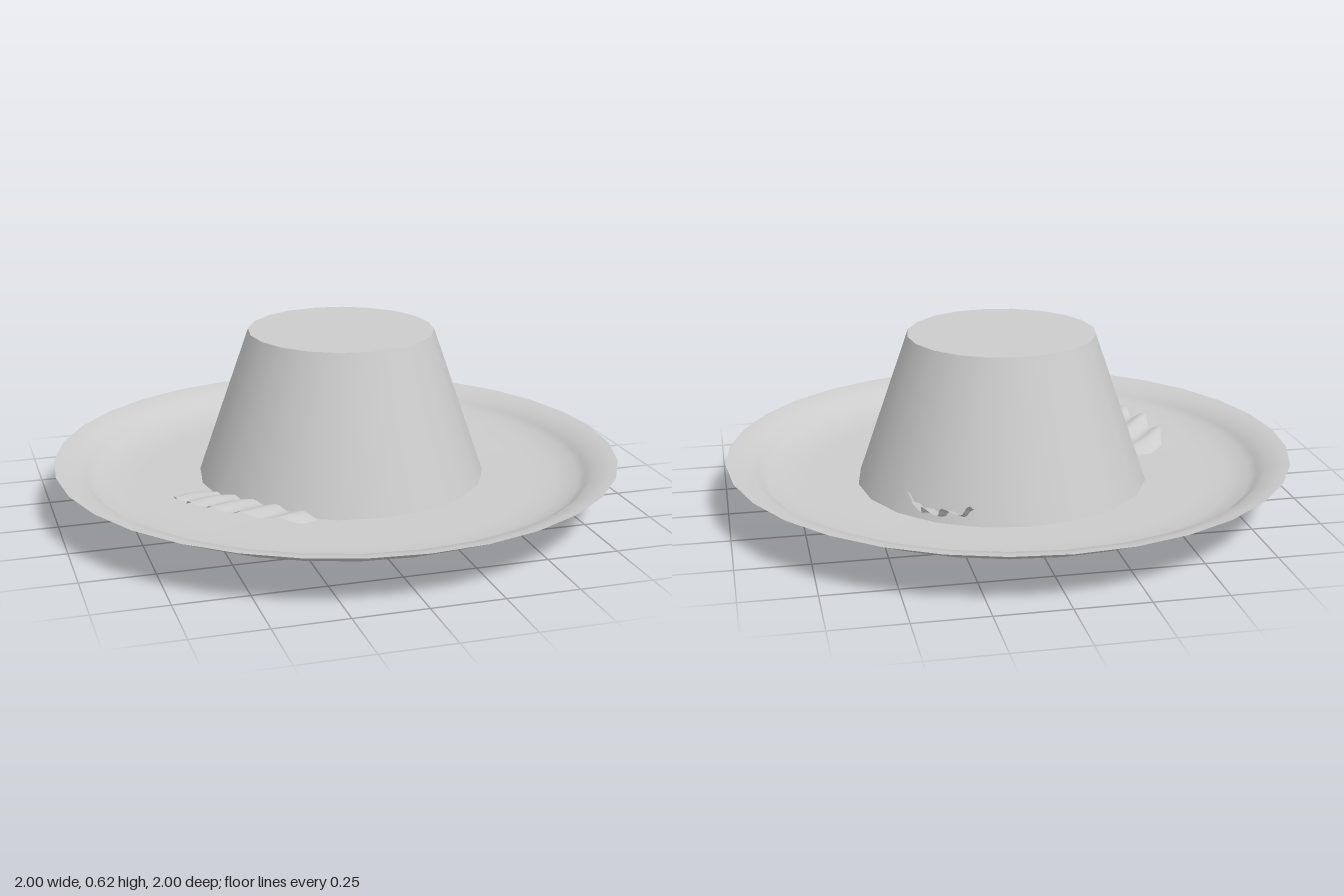
import * as THREE from 'three';

const material = new THREE.MeshStandardMaterial({ color: 0xcccccc, side: THREE.DoubleSide });

function addMesh(parent, name, geometry) {
  const mesh = new THREE.Mesh(geometry, material);
  mesh.name = name;
  parent.add(mesh);
  return mesh;
}

function lathe(points) {
  return new THREE.LatheGeometry(points.map(([r, y]) => new THREE.Vector2(r, y)), 32);
}

// Pleated fan leaf. Each section is [distance, height, sideways centre, half width].
function leafGeometry(sections, { pleats, depth, round, droop }) {
  const spine = new THREE.CatmullRomCurve3(sections.map(([d, y, c]) => new THREE.Vector3(d, y, c)));
  const widths = new THREE.CatmullRomCurve3(sections.map(([, , , w], i) => new THREE.Vector3(i, w, 0)));
  const geometry = new THREE.PlaneGeometry(2, 1, 32, 16);
  const pos = geometry.attributes.position;
  for (let i = 0; i < pos.count; i++) {
    const s = pos.getX(i);
    const t = pos.getY(i) + 0.5;
    const p = spine.getPoint(t);
    const w = widths.getPoint(t).y;
    const wave = Math.cos(s * Math.PI * pleats);
    pos.setXYZ(i,
      p.x - t * t * (round * s * s - 0.015 * wave),
      p.y + t * (depth * wave - droop * s * s),
      p.z + s * w);
  }
  geometry.computeVertexNormals();
  return geometry;
}

export function createModel() {
  const model = new THREE.Group();
  model.name = 'puddingOnPlate';

  // Plate: underside and upper face meet at a sharp rim
  const plate = new THREE.Group();
  plate.name = 'plate';
  model.add(plate);
  addMesh(plate, 'plateUnderside', lathe([
    [0, 0.085], [0.4, 0.087], [0.7, 0.092], [0.79, 0.099], [0.85, 0.118], [0.92, 0.152], [1, 0.19],
  ]));
  addMesh(plate, 'plateTop', lathe([
    [1, 0.19], [0.97, 0.186], [0.92, 0.172], [0.89, 0.148], [0.865, 0.13], [0.8, 0.112], [0.7, 0.105], [0, 0.1],
  ]));

  // Pudding: truncated cone, slightly off centre
  const pudding = addMesh(model, 'pudding', new THREE.CylinderGeometry(0.33, 0.514, 0.53, 20));
  pudding.position.set(0.032, 0.365, -0.043);

  // Leaves tucked under the pudding, their stems poking through the plate
  const smallLeaf = addMesh(model, 'smallLeaf', leafGeometry(
    [[0.12, 0.01, 0, 0.02], [0.28, 0.045, -0.01, 0.07], [0.44, 0.092, -0.04, 0.12], [0.64, 0.175, -0.1, 0.125]],
    { pleats: 4, depth: 0.018, round: 0.09, droop: 0 }));
  smallLeaf.rotation.y = Math.PI / 4;

  const largeLeaf = addMesh(model, 'largeLeaf', leafGeometry(
    [[0.11, 0.06, 0, 0.07], [0.28, 0.092, 0.04, 0.18], [0.48, 0.14, 0.09, 0.25], [0.66, 0.172, 0.1, 0.25]],
    { pleats: 5, depth: 0.013, round: 0.13, droop: 0.045 }));
  largeLeaf.rotation.y = Math.PI * 1.25;

  return model;
}
